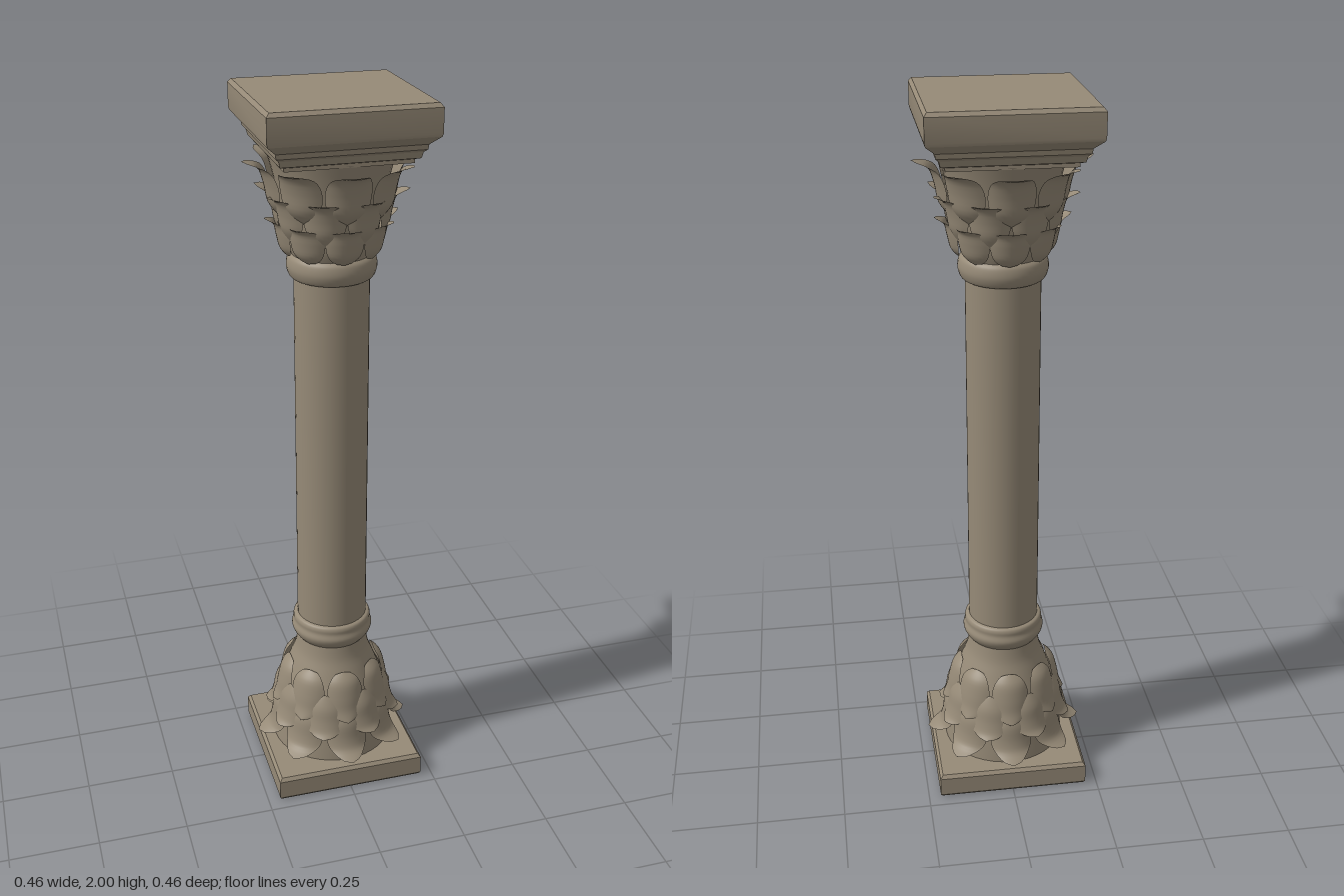
import * as THREE from 'three';
import { toCreasedNormals } from 'three/addons/utils/BufferGeometryUtils.js';

const stone = new THREE.MeshStandardMaterial({ color: 0x968a77, side: THREE.DoubleSide });
stone.name = 'stone';

const vectors = (pts) => pts.map(([x, y]) => new THREE.Vector2(x, y));

function addMesh(parent, name, geometry) {
  const mesh = new THREE.Mesh(geometry, stone);
  mesh.name = name;
  parent.add(mesh);
  return mesh;
}

// Square moulding: a four-sided lathe of [half width, height] points
function squareMoulding(pts) {
  const geo = new THREE.LatheGeometry(vectors(pts.map(([h, y]) => [h * Math.SQRT2, y])), 4, Math.PI / 4);
  return toCreasedNormals(geo, 0.3);
}

// Round part with a smooth outline
function turned(pts, divisions = 24) {
  return new THREE.LatheGeometry(new THREE.SplineCurve(vectors(pts)).getPoints(divisions), 40);
}

// Curved leaf following [radius, height] points from root to tip, facing +z
function leafGeometry(path, halfWidth) {
  const curve = new THREE.SplineCurve(vectors(path));
  const rows = 16, cols = 10;
  const pos = [], index = [];
  for (let i = 0; i <= rows; i++) {
    const t = i / rows;
    const p = curve.getPoint(t);
    const w = halfWidth * Math.pow(Math.max(0, Math.sin(Math.PI * t)), 0.62);
    for (let j = 0; j <= cols; j++) {
      const u = (j / cols) * 2 - 1;
      const a = (u * w) / p.x;
      const r = p.x - 0.012 * u * u * (w / halfWidth);
      pos.push(r * Math.sin(a), p.y, r * Math.cos(a));
      if (i < rows && j < cols) {
        const k = i * (cols + 1) + j, n = k + cols + 1;
        index.push(k, k + 1, n, k + 1, n + 1, n);
      }
    }
  }
  // Leaves that hang down need the opposite corner order
  if (path[path.length - 1][1] < path[0][1]) index.reverse();
  const geo = new THREE.BufferGeometry();
  geo.setAttribute('position', new THREE.Float32BufferAttribute(pos, 3));
  geo.setIndex(index);
  geo.computeVertexNormals();
  return geo;
}

function leafRow(parent, name, path, halfWidth, offset) {
  const row = new THREE.Group();
  row.name = name;
  const geo = leafGeometry(path, halfWidth);
  for (let i = 0; i < 8; i++) {
    addMesh(row, 'leaf', geo).rotation.y = ((i + offset) * Math.PI) / 4;
  }
  parent.add(row);
}

export function createModel() {
  const column = new THREE.Group();
  column.name = 'column';

  // Hollow square plinth, open underneath
  addMesh(column, 'plinth', squareMoulding([
    [0.21, 0], [0.216, 0.008], [0.216, 0.064], [0.208, 0.074], [0, 0.074],
  ]));

  // Base bell, neck ring and shaft
  addMesh(column, 'baseBell', turned([
    [0.176, 0.072], [0.172, 0.12], [0.164, 0.2], [0.148, 0.27],
    [0.125, 0.335], [0.108, 0.38], [0.1, 0.425],
  ]));
  addMesh(column, 'baseRing', turned([
    [0.1, 0.422], [0.112, 0.438], [0.117, 0.455], [0.112, 0.472], [0.112, 0.485], [0.108, 0.494], [0.098, 0.498],
  ]));
  addMesh(column, 'shaft', new THREE.CylinderGeometry(0.1, 0.1, 1.1, 40, 1, true)).position.y = 0.98;

  // Capital ring and flaring bell
  addMesh(column, 'capitalRing', turned([
    [0.098, 1.525], [0.111, 1.531], [0.119, 1.555], [0.115, 1.58], [0.104, 1.592],
  ]));
  addMesh(column, 'capitalBell', turned([
    [0.104, 1.585], [0.116, 1.62], [0.126, 1.68], [0.139, 1.75], [0.153, 1.81], [0.165, 1.852],
  ]));

  // Base leaves, hanging with tips curled outward
  const base = new THREE.Group();
  base.name = 'baseLeaves';
  column.add(base);
  leafRow(base, 'lowerLeaves', [[0.16, 0.24], [0.178, 0.2], [0.185, 0.15], [0.198, 0.118], [0.23, 0.1]], 0.066, 0);
  leafRow(base, 'middleLeaves', [[0.151, 0.29], [0.17, 0.25], [0.178, 0.21], [0.188, 0.18], [0.202, 0.165]], 0.063, 0.5);
  leafRow(base, 'upperLeaves', [[0.125, 0.352], [0.15, 0.325], [0.163, 0.28], [0.171, 0.24], [0.184, 0.21]], 0.06, 0);

  // Capital leaves, rising with tips curled outward
  const capital = new THREE.Group();
  capital.name = 'capitalLeaves';
  column.add(capital);
  leafRow(capital, 'lowerLeaves', [[0.119, 1.588], [0.137, 1.61], [0.146, 1.645], [0.154, 1.675], [0.178, 1.69]], 0.056, 0);
  leafRow(capital, 'middleLeaves', [[0.128, 1.635], [0.148, 1.67], [0.156, 1.71], [0.168, 1.745], [0.2, 1.762]], 0.06, 0.5);
  leafRow(capital, 'upperLeaves', [[0.138, 1.695], [0.165, 1.73], [0.176, 1.78], [0.192, 1.82], [0.232, 1.838]], 0.066, 0);

  // Square moulded slab on top
  addMesh(column, 'abacus', squareMoulding([
    [0, 1.848], [0.164, 1.848], [0.164, 1.858], [0.176, 1.862], [0.18, 1.878], [0.188, 1.885],
    [0.19, 1.898], [0.214, 1.92], [0.216, 1.928], [0.216, 1.99], [0.208, 2], [0, 2],
  ]));

  return column;
}
